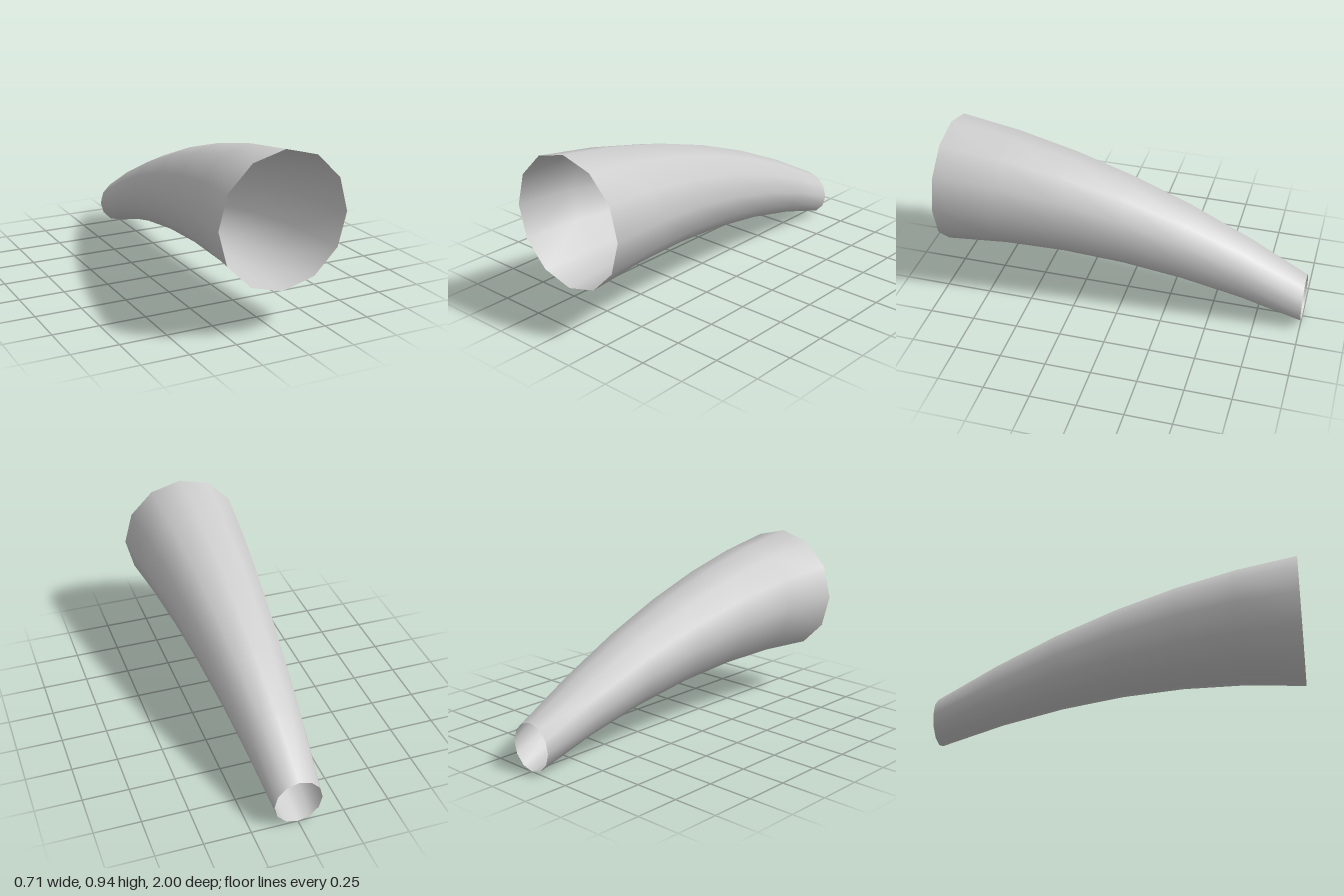
import * as THREE from 'three';
import { mergeVertices } from 'three/addons/utils/BufferGeometryUtils.js';

export function createModel() {
  const group = new THREE.Group();
  group.name = 'curvedHorn';

  const grey = new THREE.MeshStandardMaterial({ color: 0xcccccc, side: THREE.DoubleSide });
  grey.name = 'light grey';

  // Open twelve-sided taper along z, wide mouth at the front
  let geometry = new THREE.CylinderGeometry(0.353, 0.129, 2, 12, 6, true);
  geometry.rotateX(Math.PI / 2);

  // Bend the centre line down toward the back, keeping each ring upright
  const position = geometry.attributes.position;
  for (let i = 0; i < position.count; i++) {
    const t = (1 - position.getZ(i)) / 2;
    position.setY(i, position.getY(i) + 0.587 - 0.454 * t * t);
  }

  // Weld the seam so the shading runs smoothly all round
  geometry.deleteAttribute('uv');
  geometry.deleteAttribute('normal');
  geometry = mergeVertices(geometry, 1e-4);
  geometry.computeVertexNormals();

  const horn = new THREE.Mesh(geometry, grey);
  horn.name = 'hornShell';
  group.add(horn);
  return group;
}
